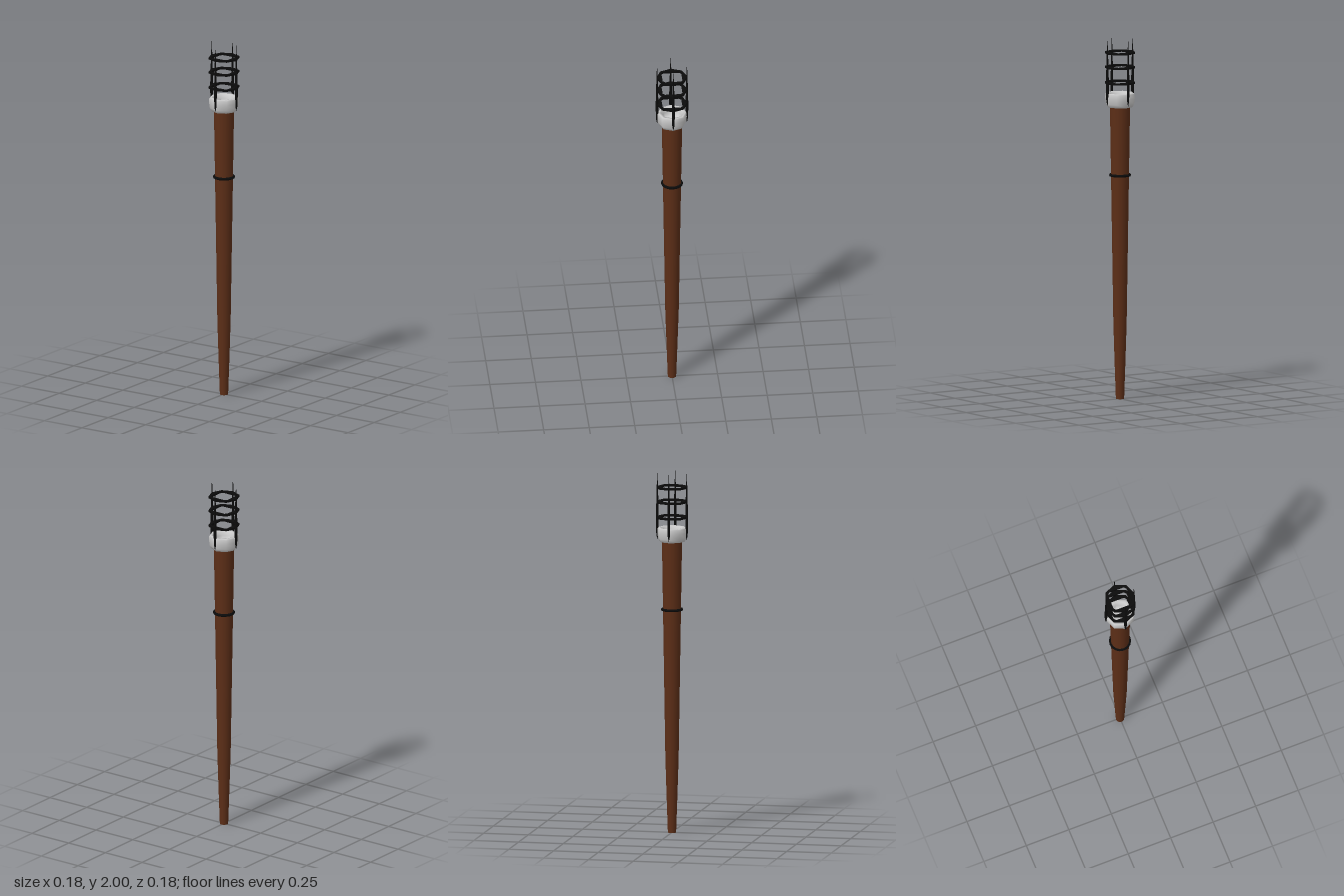
import * as THREE from 'three';

const material = (color, flatShading = false) =>
  new THREE.MeshStandardMaterial({ color, flatShading, side: THREE.DoubleSide });

const points = (list) => list.map(([r, y]) => new THREE.Vector2(r, y));

export function createModel() {
  const group = new THREE.Group();
  const wood = material(0x5c2e17);
  const iron = material(0x0b0b0b, true);
  const stone = material(0xcccccc);

  const add = (name, geometry, mat, y = 0) => {
    const mesh = new THREE.Mesh(geometry, mat);
    mesh.name = name;
    mesh.position.y = y;
    group.add(mesh);
    return mesh;
  };

  // Long tapered shaft
  add('shaft', new THREE.LatheGeometry(points([
    [0.023, 0], [0.03, 0.2], [0.037, 0.42], [0.043, 0.8], [0.05, 1.24], [0.056, 1.62],
  ]), 16), wood);
  const end = add('shaftEnd', new THREE.CircleGeometry(0.023, 16), wood);
  end.rotation.x = Math.PI / 2;

  // Iron band around the shaft
  const band = add('shaftBand', new THREE.TorusGeometry(0.053, 0.008, 6, 16), iron, 1.236);
  band.rotation.x = Math.PI / 2;

  // Hollow cup on top of the shaft
  add('cup', new THREE.LatheGeometry(points([
    [0.05, 1.61], [0.07, 1.612], [0.079, 1.63], [0.083, 1.66], [0.082, 1.683],
    [0.076, 1.69], [0.062, 1.688], [0.054, 1.665], [0.046, 1.64], [0, 1.64],
  ]), 8), stone);

  // Flat cage rings: octagon outside, chamfered square inside
  const ring = new THREE.Shape();
  for (let i = 0; i < 8; i++) {
    const a = (i * Math.PI) / 4;
    const r = i % 2 ? 0.085 : 0.084;
    ring[i ? 'lineTo' : 'moveTo'](r * Math.cos(a), r * Math.sin(a));
  }
  ring.closePath();
  const s = 0.055, c = 0.043;
  ring.holes.push(new THREE.Path([
    [s, -c], [c, -s], [-c, -s], [-s, -c], [-s, c], [-c, s], [c, s], [s, c],
  ].map(([x, y]) => new THREE.Vector2(x, y))));
  const ringGeometry = new THREE.ExtrudeGeometry(ring, { depth: 0.011, bevelEnabled: false });
  ringGeometry.rotateX(-Math.PI / 2);
  [1.74, 1.826, 1.906].forEach((y, i) => add(`cageRing${i + 1}`, ringGeometry, iron, y));

  // Four upright spikes, thick near the cup and pointed on top
  const spike = new THREE.LatheGeometry(points([
    [0, 1.62], [0.006, 1.65], [0.008, 1.7], [0.008, 1.76], [0.006, 1.83], [0.004, 1.91], [0, 2],
  ]), 6);
  for (let i = 0; i < 4; i++) {
    const a = (i * Math.PI) / 2;
    const mesh = add(`cageSpike${i + 1}`, spike, iron);
    mesh.position.set(0.082 * Math.cos(a), 0, 0.082 * Math.sin(a));
    mesh.rotation.y = -a;
  }

  return group;
}
